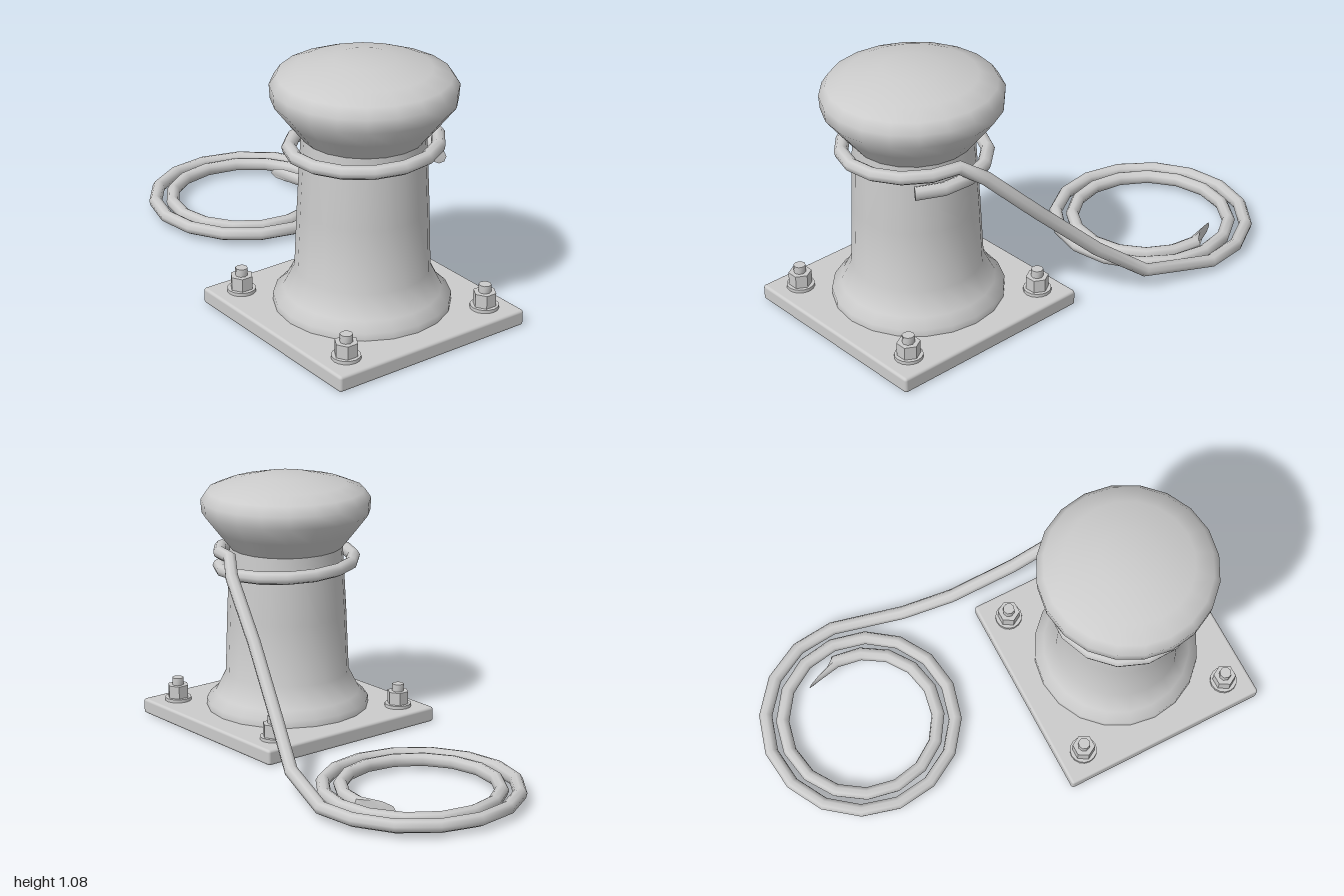
import * as THREE from 'three';
import { toCreasedNormals } from 'three/addons/utils/BufferGeometryUtils.js';
import { RoundedBoxGeometry } from 'three/addons/geometries/RoundedBoxGeometry.js';

const material = new THREE.MeshStandardMaterial({ color: 0xcccccc });
const CX = 0.54, CZ = 0.12; // post axis
const ROPE_R = 0.028, ROPE_SIDES = 8;

function part(name, geometry, x = 0, y = 0, z = 0) {
  const mesh = new THREE.Mesh(geometry, material);
  mesh.name = name;
  mesh.position.set(x, y, z);
  return mesh;
}

function lathe(profile, sides, crease) {
  const points = profile.map(([r, y]) => new THREE.Vector2(r, y));
  return toCreasedNormals(new THREE.LatheGeometry(points, sides), crease);
}

// Washer, hexagonal nut and stud end
function createBolt(x, z) {
  const bolt = new THREE.Group();
  bolt.name = 'anchorBolt';
  const stack = [['washer', 0.057, 0.065, 0.08, 16], ['nut', 0.047, 0.08, 0.135, 6], ['stud', 0.025, 0.135, 0.167, 8]];
  for (const [name, r, y0, y1, sides] of stack) {
    const g = toCreasedNormals(new THREE.CylinderGeometry(r, r, y1 - y0, sides), 0.8);
    bolt.add(part(name, g, 0, (y0 + y1) / 2, 0));
  }
  bolt.position.set(x, 0, z);
  return bolt;
}

// Rope path: stub end, turn round the post, slope to the ground, flat coil
function ropePoints() {
  const pts = [];
  const add = (x, y, z) => pts.push(new THREE.Vector3(x, y, z));
  const R = 0.288, turn = Math.PI * 2 + 0.65, steps = 17;
  for (let i = 0; i <= steps; i++) {
    const a = turn * (1 - i / steps) + 0.06;
    add(CX + R * Math.sin(a), 0.76 - 0.011 * a, CZ - R * Math.cos(a));
    if (i === 0) add(pts[0].x - 0.002, pts[0].y, pts[0].z - 0.0015); // end cap
  }
  add(0.47, 0.7, -0.222);
  add(0.25, 0.48, -0.277);
  add(0, 0.24, -0.36);
  add(-0.2, 0.088, -0.442);
  const coilSteps = 32;
  for (let i = 0; i <= coilSteps; i++) {
    const a = -0.13 + (i / coilSteps) * (Math.PI * 4 + 0.13);
    const r = 0.435 - 0.145 * a / (Math.PI * 4);
    add(-0.555 - r * Math.sin(a), 0.044, -0.1 - r * Math.cos(a));
  }
  add(-0.64, 0.044, -0.358);
  add(-0.642, 0.044, -0.357); // end cap
  return pts;
}

function ropeGeometry() {
  const pts = ropePoints(), n = pts.length;
  // Rings sit exactly on the given points
  const curve = new THREE.CatmullRomCurve3(pts);
  curve.getPointAt = curve.getPoint;
  curve.getTangentAt = curve.getTangent;
  const g = new THREE.TubeGeometry(curve, n - 1, ROPE_R, ROPE_SIDES);
  const pos = g.attributes.position, ring = ROPE_SIDES + 1;
  for (let j = 0; j < ring; j++) {
    // Slanted cut at the coil's inner end
    const k = (n - 2) * ring + j;
    pos.setX(k, pos.getX(k) - 3 * (pos.getZ(k) - pts[n - 2].z));
    // Close both ends
    pos.setXYZ(j, pts[0].x, pts[0].y, pts[0].z);
    pos.setXYZ((n - 1) * ring + j, pts[n - 1].x, pts[n - 1].y, pts[n - 1].z);
  }
  return toCreasedNormals(g, 1.1);
}

export function createModel() {
  const model = new THREE.Group();
  model.name = 'mooringBollard';

  model.add(part('basePlate', new RoundedBoxGeometry(0.9, 0.066, 0.9, 2, 0.012), CX, 0.033, CZ));

  // Flared post
  model.add(part('post', lathe([
    [0.35, 0.06], [0.35, 0.096], [0.312, 0.13], [0.266, 0.22], [0.256, 0.48], [0.244, 0.72], [0.24, 0.79],
  ], 20, 0.9), CX, 0, CZ));

  // Overhanging rounded head
  model.add(part('head', lathe([
    [0.24, 0.77], [0.30, 0.845], [0.358, 0.92], [0.362, 0.975], [0.335, 1.015], [0.26, 1.045], [0.12, 1.077], [0, 1.08],
  ], 20, 1.2), CX, 0, CZ));

  for (const sx of [-1, 1]) for (const sz of [-1, 1]) model.add(createBolt(CX + 0.34 * sx, CZ + 0.34 * sz));

  model.add(part('mooringRope', ropeGeometry()));
  return model;
}
